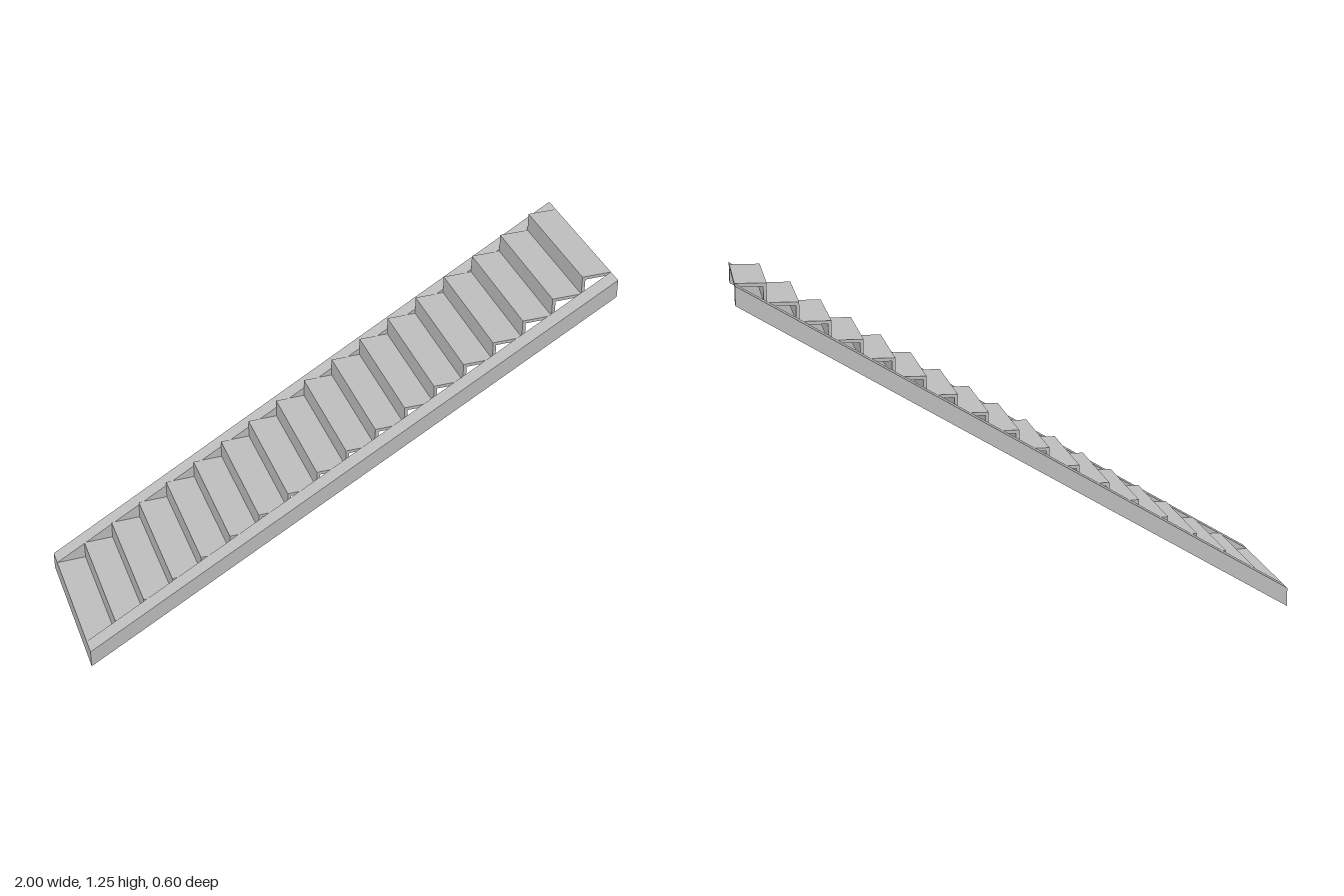
import * as THREE from 'three';

const STEPS = 18;
const RUN = 2 / STEPS;
const RISE = 1.25 / STEPS;
const THICK = 0.012;      // plate thickness of treads and risers
const INNER = 0.24;       // half width between the stringers
const OUTER = 0.30;       // half width overall

// Extrude an x/y outline between two z positions
function slab(points, z0, z1, material, name) {
  const shape = new THREE.Shape(points.map(([x, y]) => new THREE.Vector2(x, y)));
  const geometry = new THREE.ExtrudeGeometry(shape, { depth: z1 - z0, bevelEnabled: false });
  geometry.translate(0, 0, z0);
  const mesh = new THREE.Mesh(geometry, material);
  mesh.name = name;
  return mesh;
}

export function createModel() {
  const model = new THREE.Group();
  model.name = 'staircase';
  const grey = new THREE.MeshStandardMaterial({ color: 0xc0c0c0 });
  grey.name = 'light grey';

  // Sloping side stringers with plumb-cut ends
  const top = STEPS * RISE;
  const stringer = [[-1, 0], [1, top - RISE], [1, top], [-1, RISE]];
  model.add(slab(stringer, INNER, OUTER, grey, 'frontStringer'));
  model.add(slab(stringer, -OUTER, -INNER, grey, 'backStringer'));

  // Folded steps: a riser plate with a tread plate on top, open underneath
  const steps = new THREE.Group();
  steps.name = 'steps';
  for (let i = 0; i < STEPS; i++) {
    const x0 = -1 + i * RUN, x1 = x0 + RUN;
    const y0 = i * RISE, y1 = y0 + RISE;
    steps.add(slab([
      [x0, y0], [x0 + THICK, y0], [x0 + THICK, y1 - THICK],
      [x1, y1 - THICK], [x1, y1], [x0, y1],
    ], -INNER, INNER, grey, `step${i + 1}`));
  }
  model.add(steps);
  return model;
}
